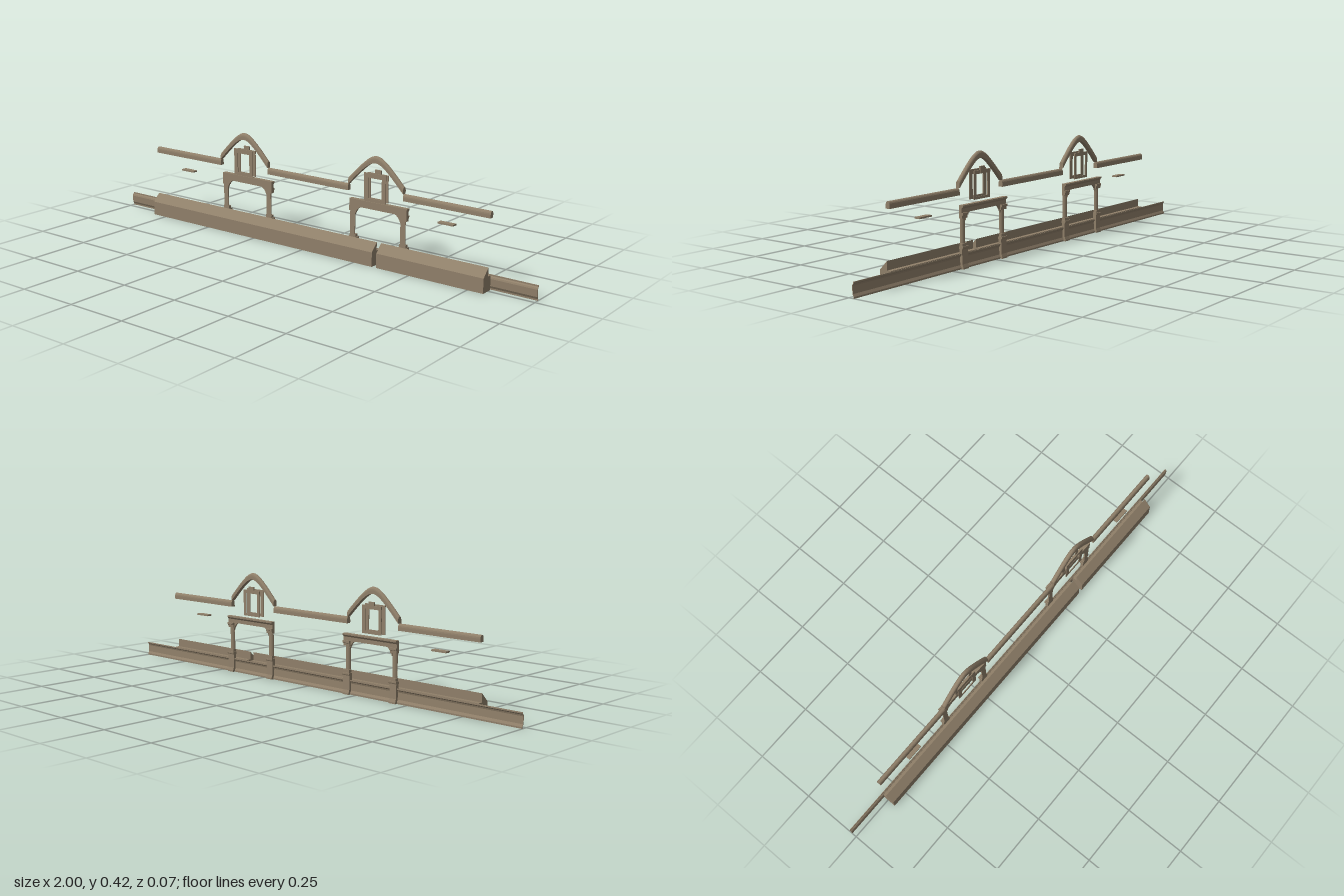
import * as THREE from 'three';

const stone = new THREE.MeshStandardMaterial({ color: 0x8f7f69 });
stone.name = 'brown stone';

const add = (parent, name, geometry) => {
  const mesh = new THREE.Mesh(geometry, stone);
  mesh.name = name;
  parent.add(mesh);
  return mesh;
};

// Extrudes a [z, y] outline along x from x0 to x1
function alongX(outline, x0, x1, steps = 1) {
  const shape = new THREE.Shape(outline.map(([z, y]) => new THREE.Vector2(-z, y)));
  const geo = new THREE.ExtrudeGeometry(shape, { depth: x1 - x0, steps, bevelEnabled: false });
  return geo.rotateY(Math.PI / 2).translate(x0, 0, 0);
}

// Box given by its limits
function block(x0, x1, y0, y1, z0, z1) {
  return new THREE.BoxGeometry(x1 - x0, y1 - y0, z1 - z0)
    .translate((x0 + x1) / 2, (y0 + y1) / 2, (z0 + z1) / 2);
}

// Rounded coping section, resting on y = base
function copingSection(base) {
  const pts = [[-0.0145, base], [0.0035, base]];
  for (let i = 0; i <= 8; i++) {
    const a = Math.PI * i / 8;
    pts.push([-0.0055 + 0.009 * Math.cos(a), base + 0.013 + 0.013 * Math.sin(a)]);
  }
  return pts;
}

// Curved gable coping: a straight coping bent by height
function gableGeometry() {
  const half = 0.125;
  const geo = alongX(copingSection(0.394), -half, half, 24);
  const p = geo.attributes.position;
  for (let i = 0; i < p.count; i++) {
    const u = p.getX(i) / half;
    p.setY(i, p.getY(i) - (Math.hypot(0.05, 0.14 * u) - 0.05));
  }
  geo.computeVertexNormals();
  return geo;
}

// Flat rectangular frame with an opening
function frameGeometry(w, y0, y1, border, z0, depth) {
  const rect = (C, x, a, b) => new C([[-x, a], [x, a], [x, b], [-x, b]]
    .map(([px, py]) => new THREE.Vector2(px, py)));
  const shape = rect(THREE.Shape, w, y0, y1);
  shape.holes.push(rect(THREE.Path, w - border, y0 + border * 0.7, y1 - border));
  return new THREE.ExtrudeGeometry(shape, { depth, bevelEnabled: false }).translate(0, 0, z0);
}

function windowSurround() {
  const g = new THREE.Group();
  g.name = 'windowSurround';
  add(g, 'frontFrame', frameGeometry(0.049, 0.243, 0.353, 0.018, 0.002, 0.003));
  add(g, 'backFrame', frameGeometry(0.047, 0.243, 0.35, 0.014, -0.0175, 0.003));
  add(g, 'hood', block(-0.047, 0.047, 0.338, 0.35, -0.0195, -0.0145));
  add(g, 'keystone', block(-0.014, 0.014, 0.337, 0.364, -0.0205, -0.0145));
  return g;
}

function portico() {
  const g = new THREE.Group();
  g.name = 'portico';
  const front = -0.015;
  // Moulded beam
  add(g, 'beam', alongX([[front, 0.207], [-0.027, 0.207], [-0.027, 0.222], [-0.03, 0.226],
    [-0.033, 0.229], [-0.033, 0.235], [front, 0.235]], -0.131, 0.131));
  for (const s of [-1, 1]) {
    const x = s * 0.115;
    // Pedestal with splayed foot and moulded cap
    add(g, 'pedestal', alongX([[front, 0], [-0.033, 0], [-0.033, 0.006], [-0.029, 0.018],
      [-0.028, 0.074], [front, 0.074]], x - 0.016, x + 0.016));
    add(g, 'pedestalCap', alongX([[front, 0.074], [-0.031, 0.074], [-0.033, 0.078],
      [-0.033, 0.084], [front, 0.084]], x - 0.018, x + 0.018));
    add(g, 'columnBase', block(x - 0.014, x + 0.014, 0.084, 0.095, -0.029, front));
    // Half-round shaft, with its flat side at the front
    add(g, 'shaft', new THREE.CylinderGeometry(0.011, 0.011, 0.095, 12, 1, false, Math.PI / 2, Math.PI)
      .translate(x, 0.1425, front));
    add(g, 'shaftFace', block(x - 0.011, x + 0.011, 0.095, 0.19, front - 0.002, front));
    add(g, 'capital', alongX([[front, 0.187], [-0.028, 0.187], [-0.029, 0.197], [-0.033, 0.199],
      [-0.033, 0.207], [front, 0.207]], x - 0.016, x + 0.016));
    // Curved bracket in the inner corner
    const inner = s * 0.104;
    const shape = new THREE.Shape();
    shape.moveTo(inner, 0.208);
    shape.lineTo(inner - s * 0.028, 0.208);
    shape.quadraticCurveTo(inner - s * 0.008, 0.2, inner, 0.175);
    add(g, 'bracket', new THREE.ExtrudeGeometry(shape, { depth: 0.008, bevelEnabled: false, curveSegments: 6 })
      .translate(0, 0, front - 0.008));
  }
  return g;
}

export function createModel() {
  const model = new THREE.Group();
  model.name = 'stoneTrim';

  // Sloped base in two lengths with a narrow joint
  const plinth = [[-0.015, 0], [0.035, 0], [0.035, 0.057], [0.003, 0.09], [0.003, 0.057], [-0.015, 0.057]];
  add(model, 'longPlinth', alongX(plinth, -0.815, 0.336));
  add(model, 'shortPlinth', alongX(plinth, 0.356, 0.815));

  // Thin moulded skirting along the back
  const curve = [[-0.024, 0], [-0.024, 0.006], [-0.019, 0.015], [-0.018, 0.042],
    [-0.02, 0.048], [-0.024, 0.052], [-0.024, 0.057]];
  const skirting = [...curve, ...curve.map(([z, y]) => [z + 0.0025, y]).reverse()];
  add(model, 'skirting', alongX(skirting, -1, 1));

  // Straight copings
  for (const [a, b] of [[-0.815, -0.449], [-0.199, 0.199], [0.449, 0.815]]) {
    add(model, 'coping', alongX(copingSection(0.27), a, b));
  }

  // Two matching bays, with a small sill outside each
  for (const s of [-1, 1]) {
    const bay = new THREE.Group();
    bay.name = s > 0 ? 'leftBay' : 'rightBay';
    add(bay, 'gableCoping', gableGeometry());
    bay.add(windowSurround(), portico());
    bay.position.x = s * 0.324;
    model.add(bay);
    add(model, 'sill', block(s * 0.635 - 0.033, s * 0.635 + 0.033, 0.214, 0.22, -0.015, 0.008));
  }
  return model;
}
